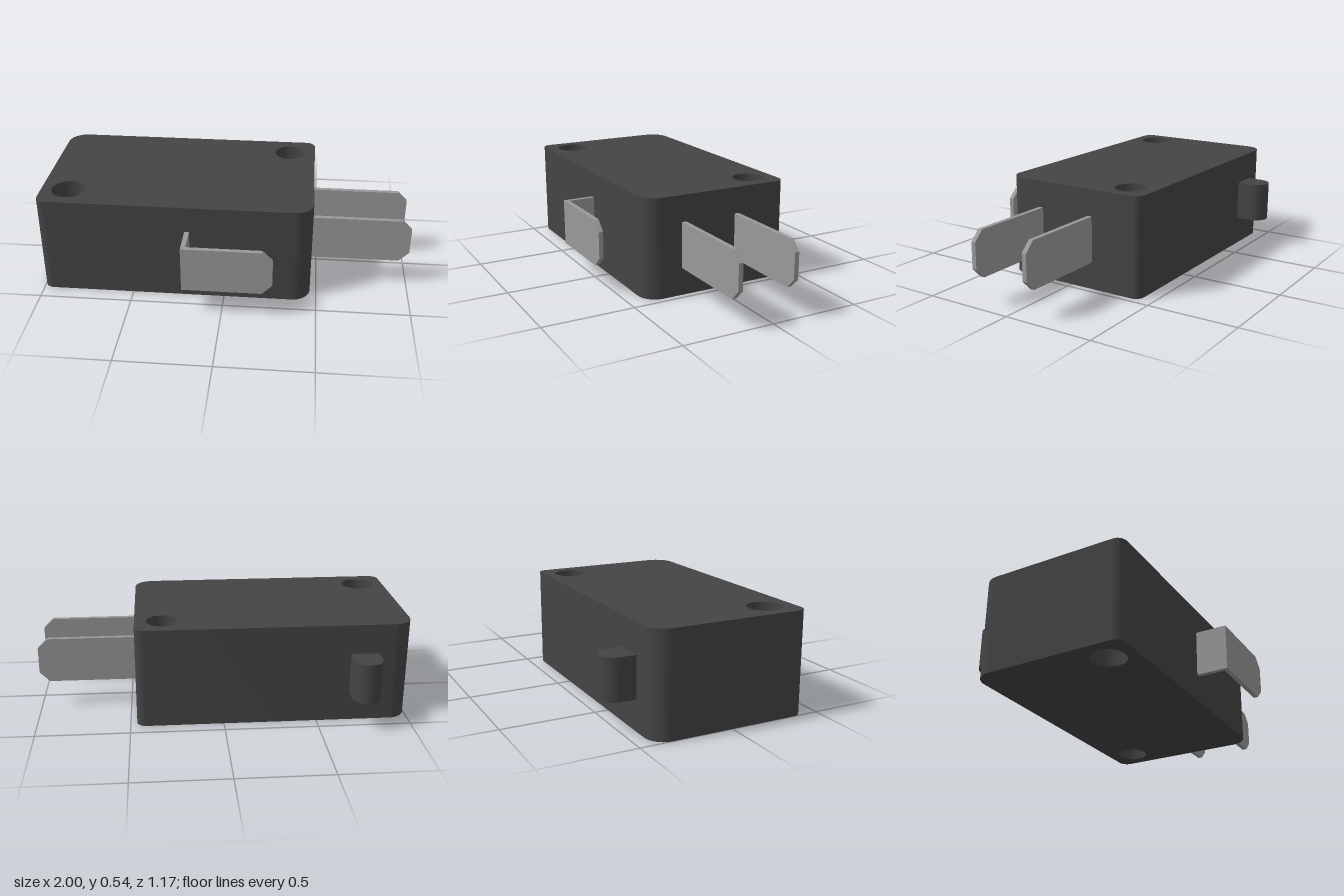
import * as THREE from 'three';
import { toCreasedNormals } from 'three/addons/utils/BufferGeometryUtils.js';

const dark = new THREE.MeshStandardMaterial({ color: 0x444444 });
const metal = new THREE.MeshStandardMaterial({ color: 0x999999 });

function extrude(shape, depth, curveSegments = 16) {
  const geo = new THREE.ExtrudeGeometry(shape, { depth, bevelEnabled: false, curveSegments });
  return toCreasedNormals(geo, Math.PI / 6);
}

function addMesh(parent, name, geo, material) {
  const mesh = new THREE.Mesh(geo, material);
  mesh.name = name;
  parent.add(mesh);
  return mesh;
}

// Plan shapes are drawn with y = -z, then stood upright.
const upright = (shape, y0, y1) =>
  extrude(shape, y1 - y0).rotateX(-Math.PI / 2).translate(0, y0, 0);

// Flat blade running along x with a chamfered tip.
function blade(x0, x1, z0, z1) {
  const y0 = 0.15, y1 = 0.4, c = 0.054;
  const shape = new THREE.Shape([
    [x0, y0], [x1 - c, y0], [x1, y0 + c], [x1, y1 - c], [x1 - c, y1], [x0, y1],
  ].map(([x, y]) => new THREE.Vector2(x, y)));
  return extrude(shape, z1 - z0).translate(0, 0, z0);
}

export function createModel() {
  const model = new THREE.Group();
  model.name = 'microSwitch';

  // Housing: two large and two small corner radii, two mounting holes
  const x0 = -1, x1 = 0.466, y0 = -0.414, y1 = 0.427;
  const big = 0.1, small = 0.05, q = Math.PI / 2;
  const outline = new THREE.Shape();
  outline.absarc(x1 - big, y0 + big, big, -q, 0);
  outline.absarc(x1 - small, y1 - small, small, 0, q);
  outline.absarc(x0 + big, y1 - big, big, q, 2 * q);
  outline.absarc(x0 + small, y0 + small, small, 2 * q, 3 * q);
  outline.closePath();
  for (const [x, y, r] of [[0.321, 0.283, 0.083], [-0.853, -0.264, 0.091]]) {
    const hole = new THREE.Path();
    hole.absarc(x, y, r, 0, Math.PI * 2, true);
    outline.holes.push(hole);
  }
  addMesh(model, 'housing', upright(outline, 0, 0.544), dark);

  // Round-nosed plunger on the back
  const px = -0.747, pr = 0.075;
  const nose = new THREE.Shape();
  nose.moveTo(px - pr, 0.4);
  nose.lineTo(px + pr, 0.4);
  nose.absarc(px, 0.585 - pr, pr, 0, Math.PI);
  nose.closePath();
  addMesh(model, 'plunger', upright(nose, 0.163, 0.383), dark);

  // Two straight side terminals
  addMesh(model, 'rearTerminal', blade(0.44, 1, -0.137, -0.112), metal);
  addMesh(model, 'middleTerminal', blade(0.44, 1, 0.181, 0.206), metal);

  // Bent front terminal: a blade and the leg joining it to the housing
  const front = new THREE.Group();
  front.name = 'frontTerminal';
  model.add(front);
  addMesh(front, 'frontBlade', blade(-0.208, 0.267, 0.56, 0.585), metal);
  const leg = addMesh(front, 'frontLeg', new THREE.BoxGeometry(0.025, 0.25, 0.16), metal);
  leg.position.set(-0.1955, 0.275, 0.48);

  return model;
}
